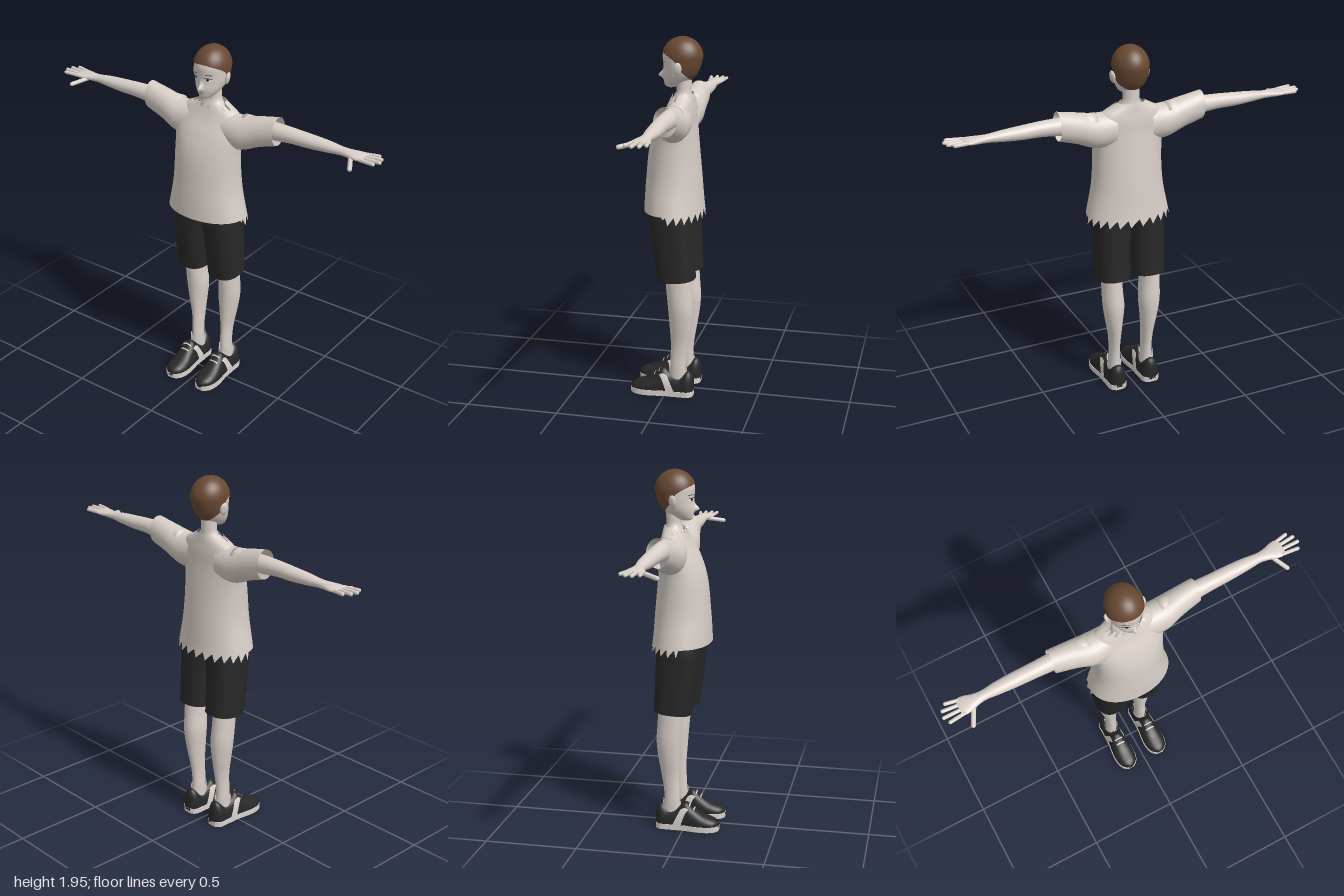
import * as THREE from 'three';

const mat = (name, color, side = THREE.FrontSide) => {
  const m = new THREE.MeshStandardMaterial({ color, side });
  m.name = name;
  return m;
};

// Smooth spline through rows [key, ...values]
function spline(rows) {
  const n = rows[0].length - 1;
  const f = new THREE.CubicInterpolant(rows.map(r => r[0]), rows.flatMap(r => r.slice(1)), n, new Float32Array(n));
  return k => Array.from(f.evaluate(k));
}

// Surface from point(t, s), both 0..1; closed wraps s, cap fills both ends
function grid(nt, ns, point, closed = true, cap = false) {
  const pos = [], idx = [], cols = closed ? ns : ns + 1;
  for (let i = 0; i <= nt; i++)
    for (let j = 0; j < cols; j++) pos.push(...point(i / nt, j / ns));
  for (let i = 0; i < nt; i++)
    for (let j = 0; j < ns; j++) {
      const a = i * cols + j, b = i * cols + (j + 1) % cols, c = a + cols, d = b + cols;
      idx.push(a, c, b, b, c, d);
    }
  if (cap) for (const i of [0, nt]) {
    const centre = [0, 0, 0], id = pos.length / 3;
    for (let j = 0; j < cols; j++) for (let k = 0; k < 3; k++) centre[k] += pos[(i * cols + j) * 3 + k] / cols;
    pos.push(...centre);
    for (let j = 0; j < ns; j++) {
      const a = i * cols + j, b = i * cols + (j + 1) % cols;
      idx.push(...(i ? [b, a, id] : [a, b, id]));
    }
  }
  const g = new THREE.BufferGeometry();
  g.setAttribute('position', new THREE.Float32BufferAttribute(pos, 3));
  g.setIndex(idx);
  g.computeVertexNormals();
  return g;
}

// Rounded cross-section; p above 2 makes it boxier
const oval = (a, p = 2) => [Math.cos(a), Math.sin(a)].map(v => Math.sign(v) * Math.abs(v) ** (2 / p));

// Upright loft, rows [y, xc, rx, zc, rz]; lower and upper edges may vary round the ring
function loftY(rows, { nt = 24, ns = 40, p = 2, cap = false, low = () => rows[0][0], high = () => rows.at(-1)[0] } = {}) {
  const f = spline(rows);
  return grid(nt, ns, (t, s) => {
    const a = s * Math.PI * 2, y = THREE.MathUtils.lerp(low(a, s), high(a, s), t);
    const [xc, rx, zc, rz] = f(y), [c, d] = oval(a, p);
    return [xc + rx * c, y, zc + rz * d];
  }, true, cap);
}

// Sideways loft, rows [x, zc, rz, yc, ry]
function loftX(rows, cap = false) {
  const f = spline(rows), x0 = rows[0][0], x1 = rows.at(-1)[0];
  return grid(28, 32, (t, s) => {
    const x = x0 + (x1 - x0) * t, [zc, rz, yc, ry] = f(x), [c, d] = oval(s * Math.PI * 2);
    return [x, yc + ry * d, zc + rz * c];
  }, true, cap);
}

function mirrored(geo) {
  const g = geo.clone().scale(-1, 1, 1), ix = g.index.array;
  for (let i = 0; i < ix.length; i += 3) [ix[i], ix[i + 1]] = [ix[i + 1], ix[i]];
  return g;
}

function finger(from, to, r) {
  const a = new THREE.Vector3(...from), b = new THREE.Vector3(...to), d = b.clone().sub(a);
  const g = new THREE.CapsuleGeometry(r, d.length(), 5, 10);
  g.applyQuaternion(new THREE.Quaternion().setFromUnitVectors(new THREE.Vector3(0, 1, 0), d.normalize()));
  return g.translate(...a.add(b).multiplyScalar(0.5).toArray());
}

// Head cross-section at height y: [rx, zc, rz]
const jaw = spline([
  [1.683, 0.012, -0.005, 0.012], [1.69, 0.028, -0.012, 0.034], [1.71, 0.05, -0.028, 0.058],
  [1.74, 0.07, -0.047, 0.082], [1.78, 0.084, -0.061, 0.093], [1.845, 0.092, -0.068, 0.105],
]);
function headRing(y) {
  if (y <= 1.845) return jaw(y);
  const s = Math.sqrt(Math.max(0, 1 - ((y - 1.845) / 0.105) ** 2));
  return [0.092 * s, -0.068, 0.105 * s];
}
function headPoint(y, a, grow = 0) {
  const [rx, zc, rz] = headRing(y), x = (rx + grow) * Math.cos(a);
  return [x, y, zc + (rz + grow) * Math.sin(a)];
}

// Thin oval plate lying on the face
function facePlate(cx, cy, rx, ry, lift, tilt = 0) {
  const shape = new THREE.Shape();
  shape.absellipse(cx, cy, rx, ry, 0, Math.PI * 2, false, tilt);
  const g = new THREE.ShapeGeometry(shape, 10), pos = g.attributes.position;
  for (let i = 0; i < pos.count; i++) {
    const [hx, zc, rz] = headRing(pos.getY(i));
    pos.setZ(i, zc + rz * Math.sqrt(Math.max(0, 1 - (pos.getX(i) / hx) ** 2)) + lift);
  }
  g.computeVertexNormals();
  return g;
}

// Shoe width and height along z
const shoe = spline([
  [-0.155, 0.02, 0.07], [-0.14, 0.04, 0.104], [-0.08, 0.048, 0.088], [-0.03, 0.049, 0.096], [0.01, 0.05, 0.122],
  [0.05, 0.056, 0.092], [0.1, 0.06, 0.06], [0.14, 0.056, 0.044], [0.175, 0.04, 0.03], [0.193, 0.016, 0.016],
]);
function shoePoint(z, a, grow = 0) {
  const [w, h] = shoe(z), [c, d] = oval(a, 2.3);
  return [0.1 + (w + grow) * d, Math.max(0.015, 0.03 + (h + grow) * c), z];
}

export function createModel() {
  const model = new THREE.Group();
  model.name = 'standingBoy';
  const D = THREE.DoubleSide;
  const skin = mat('skin', 0xd9cfc9), cloth = mat('shirtCloth', 0xd5ccc5, D), hair = mat('hairBrown', 0x684832, D);
  const black = mat('blackCloth', 0x272727, D), pale = mat('paleTrim', 0xd8d0cb, D);
  const white = mat('eyeWhite', 0xf2efec), dark = mat('eyeDark', 0x2c2422), lip = mat('lip', 0x9a7f78);
  const add = (name, geo, m) => {
    const mesh = new THREE.Mesh(geo, m);
    mesh.name = name;
    model.add(mesh);
  };
  const pair = (name, geo, m) => {
    add(name + 'Left', geo, m);
    add(name + 'Right', mirrored(geo), m);
  };

  // Head with a small pointed nose
  add('head', grid(56, 112, (t, s) => {
    const v = headPoint(1.683 + 0.255 * t, s * Math.PI * 2);
    if (v[2] > -0.03) {
      const dy = v[1] - 1.744;
      v[2] += 0.027 * Math.exp(-((v[0] / 0.011) ** 2) - (dy / (dy > 0 ? 0.026 : 0.011)) ** 2);
    }
    return v;
  }, true, true), skin);
  add('neck', loftY([[1.57, 0, 0.075, -0.07, 0.05], [1.63, 0, 0.064, -0.072, 0.047], [1.66, 0, 0.047, -0.075, 0.04],
    [1.7, 0, 0.044, -0.075, 0.04], [1.75, 0, 0.045, -0.072, 0.044]]), skin);
  pair('ear', new THREE.SphereGeometry(1, 16, 12).scale(0.011, 0.034, 0.021).rotateZ(-0.2).rotateY(0.3).translate(0.097, 1.793, -0.062), skin);

  // Close-cropped hair cap
  add('hair', grid(28, 64, (t, s) => {
    const a = s * Math.PI * 2, f = Math.sin(a);
    const low = f > 0 ? 1.8 + 0.075 * f ** 0.6 : 1.8 - 0.075 * (-f) ** 0.7;
    return headPoint(low + (1.95 - low) * Math.sin(t * Math.PI / 2), a, 0.004 * (1 - t));
  }), hair);

  // Face details
  pair('eye', facePlate(0.037, 1.796, 0.019, 0.008, 0.003), white);
  pair('iris', facePlate(0.036, 1.797, 0.0065, 0.0075, 0.005), dark);
  pair('upperLid', facePlate(0.038, 1.805, 0.021, 0.0022, 0.006, -0.1), dark);
  pair('eyebrow', facePlate(0.042, 1.822, 0.018, 0.002, 0.003, -0.1), dark);
  add('mouth', facePlate(0, 1.717, 0.013, 0.0022, 0.003), lip);

  // Shirt with ragged hem at the back and ragged neckline at the front
  add('shirtBody', loftY([
    [0.99, 0, 0.236, -0.03, 0.161], [1.04, 0, 0.226, -0.027, 0.157], [1.2, 0, 0.195, -0.025, 0.146],
    [1.4, 0, 0.189, -0.028, 0.124], [1.5, 0, 0.197, -0.042, 0.1], [1.57, 0, 0.19, -0.06, 0.078],
    [1.61, 0, 0.155, -0.066, 0.066], [1.635, 0, 0.105, -0.069, 0.06], [1.66, 0, 0.068, -0.072, 0.052],
  ], {
    nt: 48, ns: 96, p: 2.1,
    low: (a, s) => Math.sin(a) > 0.1 ? 1.035 : [1.035, 1.022, 1.008, 0.993][Math.round(s * 96) % 4],
    high: (a, s) => Math.sin(a) < 0.1 ? 1.655 : Math.round(s * 96) % 6 < 3 ? 1.648 : 1.625,
  }), cloth);
  pair('sleeve', loftX([[0.1, -0.06, 0.08, 1.52, 0.092], [0.2, -0.058, 0.083, 1.52, 0.092],
    [0.3, -0.065, 0.07, 1.55, 0.083], [0.405, -0.07, 0.06, 1.577, 0.077]]), cloth);

  // Arms and hands
  pair('arm', loftX([
    [0.2, -0.07, 0.05, 1.57, 0.05], [0.4, -0.07, 0.045, 1.575, 0.046], [0.5, -0.07, 0.041, 1.578, 0.04],
    [0.6, -0.072, 0.039, 1.576, 0.036], [0.7, -0.073, 0.034, 1.576, 0.029], [0.78, -0.072, 0.027, 1.575, 0.021],
    [0.83, -0.07, 0.037, 1.575, 0.019], [0.87, -0.07, 0.049, 1.576, 0.016], [0.905, -0.07, 0.046, 1.577, 0.011],
  ], true), skin);
  [[-0.032, 0.972, -0.022], [-0.057, 0.99, -0.056], [-0.082, 0.982, -0.09], [-0.106, 0.955, -0.118]].forEach(([z0, x, z1], i) =>
    pair('finger' + (i + 1), finger([0.89, 1.577, z0], [x, 1.58, z1], 0.0098), skin));
  pair('thumb', finger([0.835, 1.567, -0.05], [0.88, 1.55, 0.035], 0.012), skin);

  // Knee-length shorts
  pair('shortsLeg', loftY([
    [0.655, 0.102, 0.09, -0.062, 0.102], [0.8, 0.101, 0.093, -0.047, 0.109], [0.95, 0.097, 0.097, -0.035, 0.116],
    [1, 0.093, 0.101, -0.032, 0.118], [1.09, 0.088, 0.092, -0.03, 0.115],
  ], { p: 2.5, low: a => 0.665 - 0.01 * Math.sin(a) }), black);

  // Bare lower legs
  pair('leg', loftY([
    [0.08, 0.098, 0.03, -0.07, 0.04], [0.16, 0.098, 0.03, -0.068, 0.042], [0.22, 0.098, 0.029, -0.07, 0.043],
    [0.3, 0.099, 0.033, -0.077, 0.048], [0.4, 0.104, 0.046, -0.082, 0.059], [0.5, 0.107, 0.058, -0.083, 0.067],
    [0.6, 0.111, 0.056, -0.075, 0.068], [0.7, 0.111, 0.056, -0.068, 0.068], [0.85, 0.1, 0.065, -0.05, 0.075],
  ], { nt: 36 }), skin);

  // Shoes: ragged sock, upper, side patches, laces and flat sole
  pair('sock', loftY([[0.08, 0.098, 0.036, -0.07, 0.05], [0.17, 0.098, 0.039, -0.068, 0.05]],
    { nt: 4, high: (a, s) => Math.round(s * 40) % 4 < 2 ? 0.145 : 0.168 }), pale);
  pair('shoeUpper', grid(48, 40, (t, s) => shoePoint(-0.155 + 0.348 * t, s * Math.PI * 2), true, true), black);
  for (const [name, side] of [['outerPatch', 1], ['innerPatch', -1]])
    pair(name, grid(8, 8, (t, s) => shoePoint(-0.055 + 0.045 * t + 0.04 * s, side * (1.57 - 0.85 * s), 0.003), false), pale);
  for (const z of [0.03, 0.055])
    pair('lace', grid(2, 10, (t, s) => shoePoint(z + 0.006 * t, (s - 0.5) * 0.8, 0.003), false), pale);
  const edge = Array.from({ length: 31 }, (_, i) => -0.155 + 0.348 * (0.5 - 0.5 * Math.cos(i / 30 * Math.PI)));
  const outline = [1, -1].flatMap(s => (s > 0 ? edge : [...edge].reverse()).map(z => new THREE.Vector2(0.1 + s * (shoe(z)[0] + 0.003), z)));
  const sole = new THREE.ExtrudeGeometry(new THREE.Shape(outline), { depth: 0.03, bevelEnabled: false }).rotateX(Math.PI / 2).translate(0, 0.03, 0);
  sole.setIndex([...Array(sole.attributes.position.count).keys()]);
  sole.clearGroups();
  pair('sole', sole, pale);

  return model;
}
